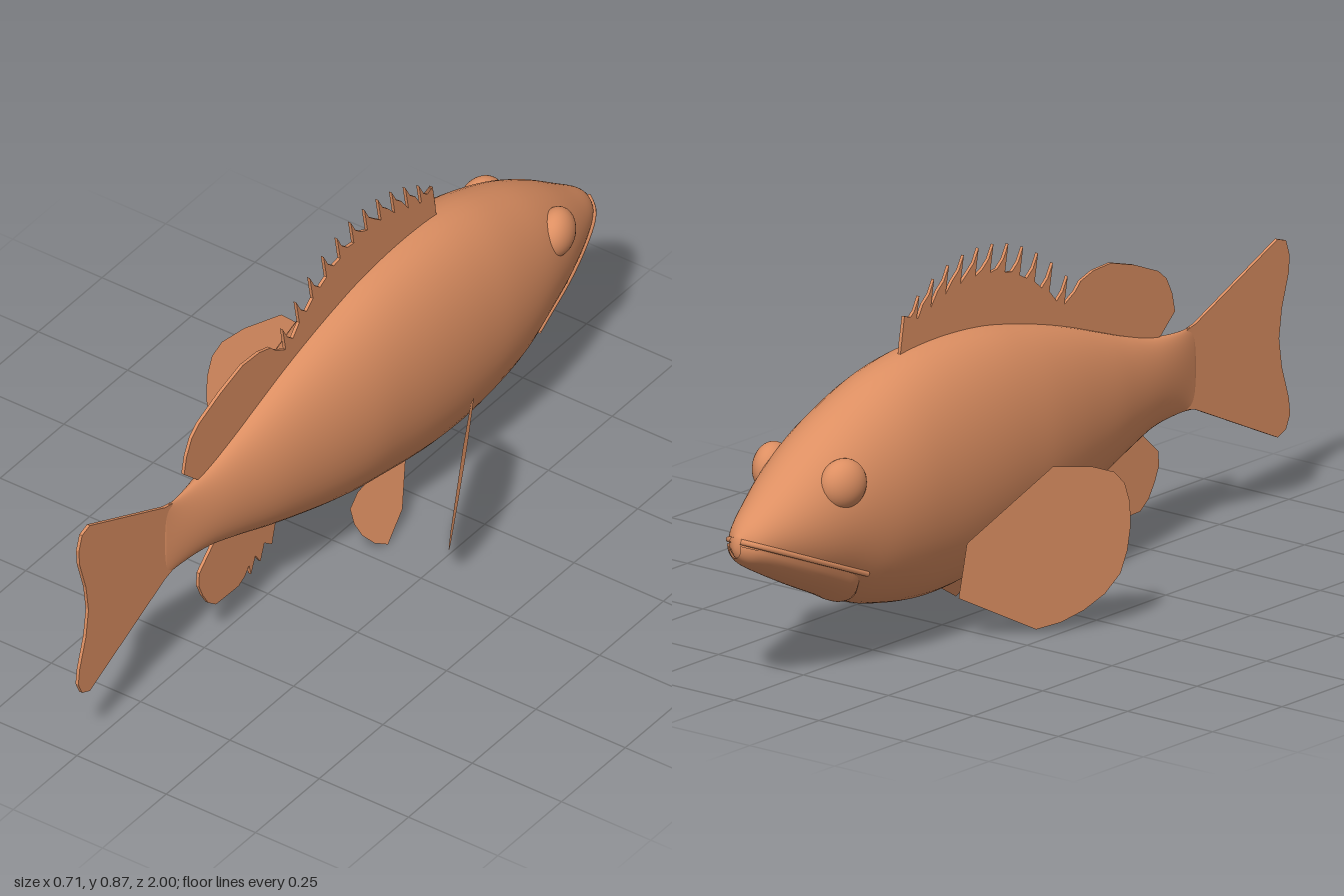
import * as THREE from 'three';
import { mergeVertices } from 'three/addons/utils/BufferGeometryUtils.js';

// Body stations from nose to tail root: z, top, bottom, half width
const STATIONS = [
  [-0.99, 0.39, 0.345, 0.016], [-0.96, 0.422, 0.32, 0.048], [-0.9, 0.465, 0.288, 0.078],
  [-0.8, 0.535, 0.24, 0.115], [-0.7, 0.592, 0.195, 0.14], [-0.6, 0.636, 0.145, 0.156],
  [-0.5, 0.67, 0.12, 0.164], [-0.4, 0.69, 0.105, 0.165], [-0.3, 0.697, 0.104, 0.163],
  [-0.2, 0.695, 0.114, 0.158], [-0.1, 0.685, 0.13, 0.15], [0, 0.665, 0.147, 0.14],
  [0.1, 0.64, 0.171, 0.124], [0.2, 0.61, 0.2, 0.105], [0.3, 0.575, 0.232, 0.085],
  [0.4, 0.54, 0.267, 0.062], [0.5, 0.512, 0.297, 0.04], [0.6, 0.501, 0.306, 0.018],
  [0.66, 0.506, 0.303, 0.004],
];

// Smooth interpolation between stations, t counted in stations
function station(t) {
  const n = STATIONS.length - 1;
  const i = Math.min(Math.floor(t), n - 1), f = t - i;
  const at = (k) => STATIONS[Math.max(0, Math.min(n, k))];
  const [z, top, bottom, w] = [0, 1, 2, 3].map((c) => {
    const [a, b, d, e] = [at(i - 1)[c], at(i)[c], at(i + 1)[c], at(i + 2)[c]];
    return b + 0.5 * f * (d - a + f * (2 * a - 5 * b + 4 * d - e + f * (3 * (b - d) + e - a)));
  });
  return { z, w, cy: (top + bottom) / 2, h: (top - bottom) / 2 };
}

// Point on the body; the angle starts at the belly and runs toward +x
function skin(t, angle, scale = 1) {
  const s = station(t);
  return [s.w * scale * Math.sin(angle), s.cy - s.h * scale * Math.cos(angle), s.z];
}

// Grid surface from point(i, j)
function gridSurface(rows, cols, point) {
  const pos = [], index = [];
  for (let i = 0; i <= rows; i++) {
    for (let j = 0; j <= cols; j++) {
      pos.push(...point(i, j));
      if (i < rows && j < cols) {
        const a = i * (cols + 1) + j, b = a + cols + 1;
        index.push(a, a + 1, b, a + 1, b + 1, b);
      }
    }
  }
  const g = new THREE.BufferGeometry();
  g.setAttribute('position', new THREE.Float32BufferAttribute(pos, 3));
  g.setIndex(index);
  const merged = mergeVertices(g, 1e-5);
  merged.computeVertexNormals();
  return merged;
}

// Shape from [z, y] outline; the rotation later brings shape x back to z
const outline = (pts) => new THREE.Shape(pts.map(([z, y]) => new THREE.Vector2(-z, y)));

// Thin upright fin on the centre plane
function medianFin(pts, depth = 0.008) {
  return new THREE.ExtrudeGeometry(outline(pts), { depth, bevelEnabled: false })
    .translate(0, 0, -depth / 2).rotateY(Math.PI / 2);
}

// Flat side fin slanted outward by xAt(z, y)
function sideFin(pts, xAt) {
  const g = new THREE.ShapeGeometry(outline(pts)).rotateY(Math.PI / 2);
  const p = g.attributes.position;
  for (let i = 0; i < p.count; i++) p.setX(i, xAt(p.getZ(i), p.getY(i)));
  g.computeVertexNormals();
  return g;
}

const mouthY = (z) => THREE.MathUtils.mapLinear(z, -0.99, -0.64, 0.375, 0.232);
function mouthAngle(t, lift = 0) {
  const s = station(t);
  return Math.acos(THREE.MathUtils.clamp((s.cy - mouthY(s.z) - lift) / s.h, -1, 1));
}

export function createModel() {
  const model = new THREE.Group();
  model.name = 'fish';
  const skinMat = new THREE.MeshStandardMaterial({ color: 0xdd8f62, side: THREE.DoubleSide });
  skinMat.name = 'copper skin';
  const add = (name, geometry, parent = model) => {
    const mesh = new THREE.Mesh(geometry, skinMat);
    mesh.name = name;
    parent.add(mesh);
    return mesh;
  };

  // Body with closed nose and tail root
  const rows = 90, cols = 48;
  add('body', gridSurface(rows + 2, cols, (i, j) => {
    if (i === 0) return [0, 0.367, -0.997];
    if (i === rows + 2) return [0, 0.405, 0.662];
    return skin((i - 1) / rows * (STATIONS.length - 1), j / cols * Math.PI * 2);
  }));

  // Lower jaw: raised patch with a rounded rear end
  const jawEnd = 4.65;
  add('lowerJaw', gridSurface(32, 24, (i, j) => {
    const s = i / 32, t = s * jawEnd, u = j / 12 - 1;
    const back = Math.max(0, (s - 0.88) / 0.12);
    const spread = mouthAngle(t) * Math.sqrt(1 - back * back);
    const swell = 0.06 * (1 - u ** 8) * (1 - back ** 6);
    const p = skin(t, u * spread, 0.995 + swell);
    return [p[0], p[1], p[2] - 0.007 * (1 - s)];
  }));

  // Dorsal fin: soft rear lobe, then a row of swept spines
  const dorsal = [
    [0.5, 0.49], [0.535, 0.51], [0.585, 0.555], [0.575, 0.6], [0.555, 0.64], [0.525, 0.665],
    [0.44, 0.7], [0.355, 0.725], [0.29, 0.722], [0.245, 0.708], [0.225, 0.688],
  ];
  const spines = 12;
  for (let k = 0; k < spines; k++) {
    const z = 0.198 - k * 0.0535;
    const tip = 0.875 - (z > -0.12 ? 1.42 : 1.35) * (z + 0.12) ** 2;
    dorsal.push([z - 0.012, tip - 0.065], [z, tip], [z - 0.018, tip - 0.032], [z - 0.04, tip - 0.05]);
  }
  dorsal.splice(-2, 2, [-0.405, 0.69]);
  dorsal.push([-0.4, 0.66], [-0.2, 0.66], [0, 0.63], [0.2, 0.575], [0.4, 0.51]);
  add('dorsalFin', medianFin(dorsal));

  // Anal fin with three short spines
  add('analFin', medianFin([
    [0.45, 0.31], [0.465, 0.29], [0.525, 0.235], [0.527, 0.2], [0.512, 0.165], [0.49, 0.13],
    [0.46, 0.107], [0.37, 0.104], [0.345, 0.118], [0.33, 0.138], [0.322, 0.108], [0.305, 0.15],
    [0.285, 0.122], [0.27, 0.165], [0.24, 0.143], [0.225, 0.2], [0.21, 0.23], [0.3, 0.26],
  ]));

  // Tail fin
  add('tailFin', medianFin([
    [0.63, 0.5], [0.66, 0.507], [0.955, 0.638], [0.985, 0.628], [0.998, 0.59], [0.995, 0.55],
    [0.97, 0.47], [0.96, 0.4], [0.97, 0.33], [0.995, 0.25], [1, 0.21], [0.985, 0.178],
    [0.955, 0.165], [0.66, 0.302], [0.63, 0.31],
  ]));

  // Paired parts, built on the left and mirrored
  const pectoral = sideFin([
    [-0.18, 0.42], [-0.34, 0.25], [-0.342, 0.115], [-0.17, 0.017], [-0.12, 0.028], [-0.075, 0.052],
    [-0.035, 0.088], [-0.008, 0.135], [0, 0.19], [0, 0.25], [-0.008, 0.31], [-0.025, 0.36],
    [-0.05, 0.39], [-0.1, 0.41],
  ], (z, y) => 0.349 + 0.6 * z + 0.16 * (y - 0.24));
  const pelvic = sideFin([
    [-0.2, 0.14], [-0.14, 0.05], [-0.06, 0.006], [-0.02, 0.03], [0.01, 0.065], [0.023, 0.1],
    [0.02, 0.135], [-0.02, 0.155], [-0.1, 0.165],
  ], (z, y) => 0.06 + (0.15 - y) * 0.38);
  const eye = new THREE.SphereGeometry(0.06, 32, 20).scale(0.72, 1, 1)
    .rotateY(0.25).translate(0.104, 0.478, -0.735);
  const lipPath = new THREE.CatmullRomCurve3(Array.from({ length: 12 }, (_, k) => {
    const t = k / 11 * 4.45;
    return new THREE.Vector3(...skin(t, mouthAngle(t, 0.008)));
  }));
  const lip = new THREE.TubeGeometry(lipPath, 40, 0.007, 8);

  for (const [side, sign] of [['left', 1], ['right', -1]]) {
    const half = new THREE.Group();
    half.name = side + 'Side';
    half.scale.x = sign;
    add(side + 'PectoralFin', pectoral, half);
    add(side + 'PelvicFin', pelvic, half);
    add(side + 'Eye', eye, half);
    add(side + 'UpperLip', lip, half);
    model.add(half);
  }
  return model;
}
